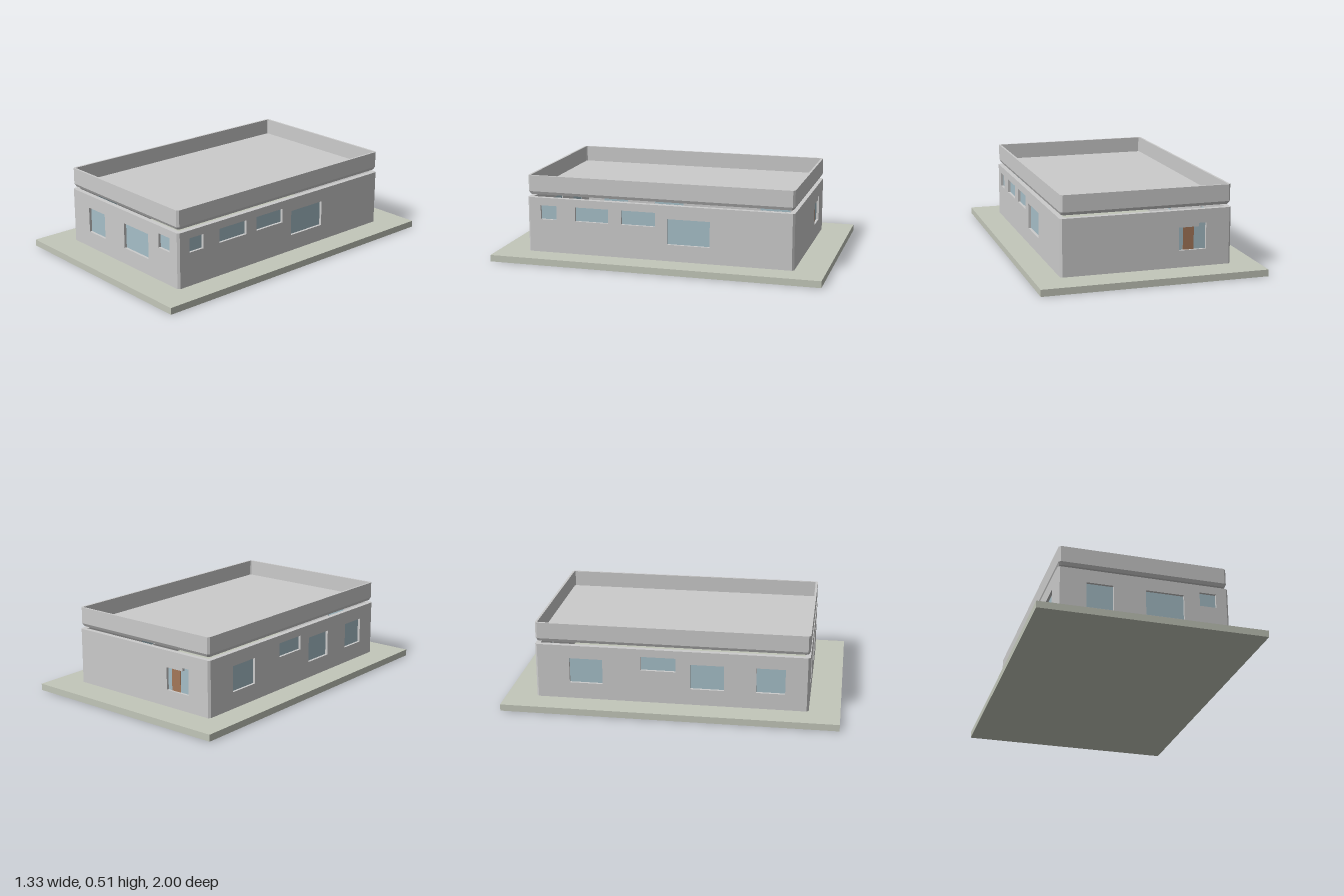
import * as THREE from 'three';

const HW = 0.508, HD = 0.815;      // half width and half depth of the walls
const BASE = 0.04, WALL_TOP = 0.375;
const THICK = 0.03, CH = 0.012;    // wall thickness, corner chamfer

const mat = (color) => new THREE.MeshStandardMaterial({ color });
const wallMat = mat(0xcccac8), groundMat = mat(0xc3c7ba), glassMat = mat(0xa6bfc8), doorMat = mat(0xa5785a);

function add(parent, name, geometry, material) {
  const mesh = new THREE.Mesh(geometry, material);
  mesh.name = name;
  parent.add(mesh);
  return mesh;
}

const rect = (u0, u1, y0, y1) => [[u0, y0], [u1, y0], [u1, y1], [u0, y1]];
const toPath = (pts) => pts.map(([x, y]) => new THREE.Vector2(x, y));

// Wall panel with its outer face on local z = 0; each opening is a polygon with glass set back in it
function makeWall(name, width, openings) {
  const group = new THREE.Group();
  group.name = name;
  const shape = new THREE.Shape(toPath(rect(-width / 2, width / 2, BASE, WALL_TOP)));
  openings.forEach((pts) => shape.holes.push(new THREE.Path(toPath(pts))));
  const panel = new THREE.ExtrudeGeometry(shape, { depth: THICK, bevelEnabled: false });
  panel.translate(0, 0, -THICK);
  add(group, 'wallPanel', panel, wallMat);
  openings.forEach((pts) => {
    const pane = new THREE.ExtrudeGeometry(new THREE.Shape(toPath(pts)), { depth: 0.008, bevelEnabled: false });
    pane.translate(0, 0, -0.024);
    add(group, 'windowGlass', pane, glassMat);
  });
  return group;
}

// Rectangle ring with chamfered corners, counter-clockwise seen from above
function ring([hw, hd, ch, y]) {
  return [
    [hw, hd - ch], [hw, -hd + ch], [hw - ch, -hd], [-hw + ch, -hd],
    [-hw, -hd + ch], [-hw, hd - ch], [-hw + ch, hd], [hw - ch, hd],
  ].map(([x, z]) => [x, y, z]);
}

// Flat-faced skin over a list of rings, closed at the first and last one
function loft(sections) {
  const rings = sections.map(ring), pos = [];
  const tri = (a, b, c) => pos.push(...a, ...b, ...c);
  for (let r = 0; r < rings.length - 1; r++) {
    for (let i = 0; i < 8; i++) {
      const j = (i + 1) % 8, a = rings[r], b = rings[r + 1];
      tri(a[i], a[j], b[j]);
      tri(a[i], b[j], b[i]);
    }
  }
  const first = rings[0], last = rings[rings.length - 1];
  for (let i = 1; i < 7; i++) {
    tri(first[0], first[i + 1], first[i]);
    tri(last[0], last[i], last[i + 1]);
  }
  const g = new THREE.BufferGeometry();
  g.setAttribute('position', new THREE.Float32BufferAttribute(pos, 3));
  g.computeVertexNormals();
  return g;
}

export function createModel() {
  const model = new THREE.Group();
  model.name = 'building';

  // Ground slab
  add(model, 'groundSlab', new THREE.BoxGeometry(1.332, BASE, 2), groundMat).position.y = BASE / 2;

  // Four walls: outline of openings as [along wall, height]
  const low = [0.14, 0.295], high = [0.242, 0.328];
  const front = makeWall('frontWall', 2 * (HW - CH), [
    rect(-0.342, -0.182, ...low), rect(0.008, 0.237, ...low), rect(0.332, 0.432, ...high),
  ]);
  front.position.z = HD;

  const left = makeWall('leftWall', 2 * (HD - CH), [
    rect(-0.733, -0.632, ...high), rect(-0.514, -0.305, ...high),
    rect(-0.225, -0.015, ...high), rect(0.058, 0.317, ...low),
  ]);
  left.rotation.y = Math.PI / 2;
  left.position.x = HW;

  const back = makeWall('backWall', 2 * (HW - CH), [
    [[0.19, 0.14], [0.355, 0.14], [0.355, 0.295], [0.31, 0.295], [0.31, 0.275], [0.19, 0.275]],
  ]);
  back.rotation.y = Math.PI;
  back.position.z = -HD;
  // Brown door leaf showing in the rear opening
  add(back, 'doorLeaf', new THREE.BoxGeometry(0.065, 0.135, 0.004), doorMat).position.set(0.252, 0.2075, -0.015);

  const right = makeWall('rightWall', 2 * (HD - CH), [
    rect(-0.61, -0.41, ...low), rect(-0.18, 0.03, ...high),
    rect(0.115, 0.315, ...low), rect(0.505, 0.675, ...low),
  ]);
  right.rotation.y = -Math.PI / 2;
  right.position.x = -HW;
  model.add(front, left, back, right);

  // Chamfered corner posts
  for (const sx of [-1, 1]) {
    for (const sz of [-1, 1]) {
      const x = sx * HW, z = sz * HD, cx = sx * CH, cz = sz * CH;
      const shape = new THREE.Shape(toPath([[x - cx, -z], [x, -(z - cz)], [x - cx, -(z - cz)]]));
      const post = new THREE.ExtrudeGeometry(shape, { depth: WALL_TOP - BASE, bevelEnabled: false });
      post.rotateX(-Math.PI / 2);
      post.translate(0, BASE, 0);
      add(model, 'cornerPost', post, wallMat);
    }
  }

  // Roof tray hovering above the walls: tapered underside, parapet and sunken deck
  add(model, 'roofWithParapet', loft([
    [0.495, 0.803, 0.012, 0.392],
    [0.503, 0.813, 0.012, 0.41],
    [0.503, 0.813, 0.012, 0.508],
    [0.49, 0.8, 0.006, 0.508],
    [0.49, 0.8, 0.006, 0.41],
  ]), wallMat);

  return model;
}
